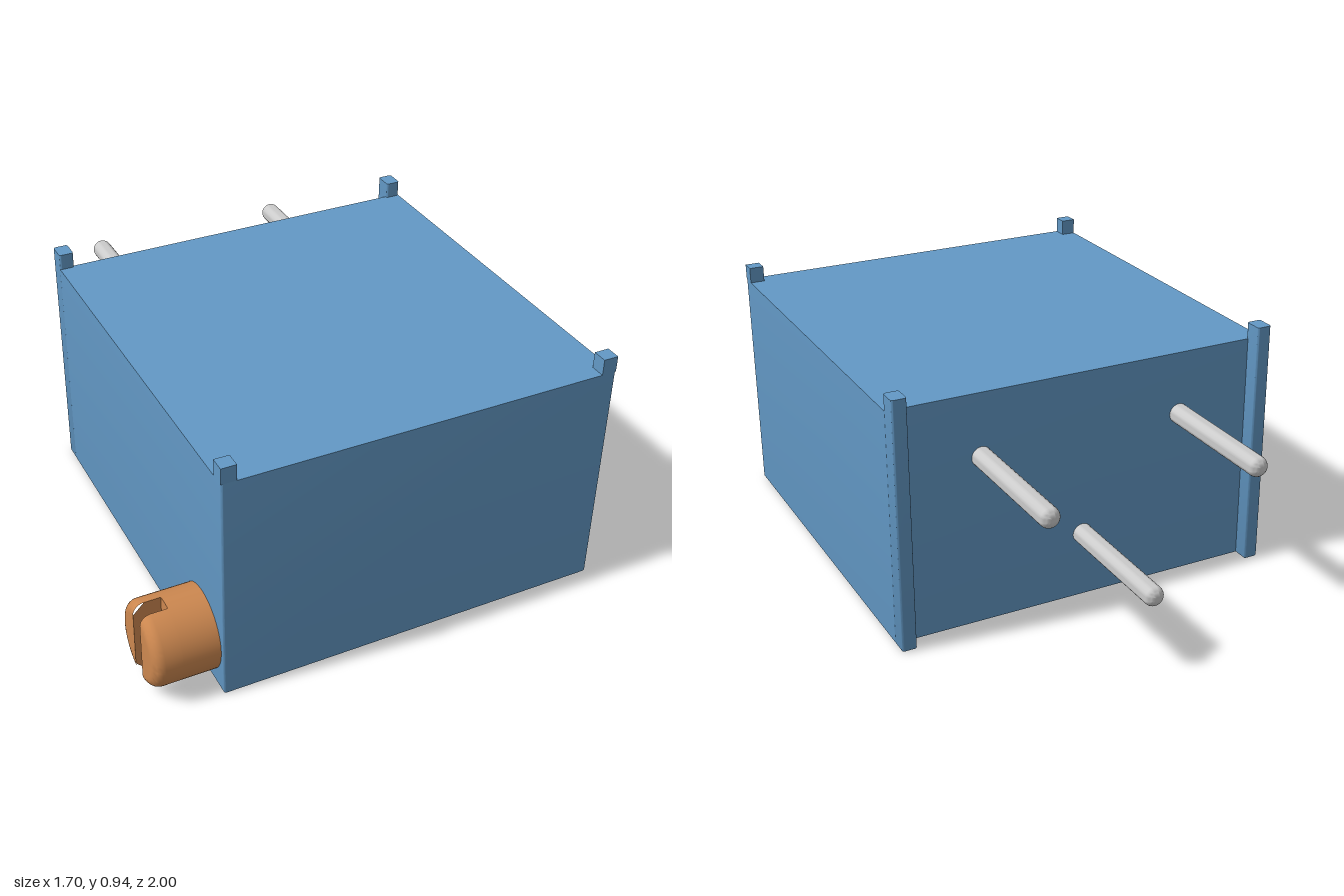
import * as THREE from 'three';
import { toCreasedNormals } from 'three/addons/utils/BufferGeometryUtils.js';
import { RoundedBoxGeometry } from 'three/addons/geometries/RoundedBoxGeometry.js';

const X0 = -0.615, X1 = 0.845, Z0 = -0.48, Z1 = 1, TOP = 0.88, FOOT = 0.055;
const blue = new THREE.MeshStandardMaterial({ color: 0x6399c6 });
const copper = new THREE.MeshStandardMaterial({ color: 0xcd8850 });
const grey = new THREE.MeshStandardMaterial({ color: 0xcccccc });

function add(parent, name, geometry, material, x = 0, y = 0, z = 0) {
  const mesh = new THREE.Mesh(geometry, material);
  mesh.name = name;
  mesh.position.set(x, y, z);
  parent.add(mesh);
  return mesh;
}

// Rounded box whose top is pressed flat, leaving a sharp upper rim
function flatTopBox(w, h, d, r) {
  const g = new RoundedBoxGeometry(w, h + r, d, 3, r);
  g.translate(0, (h + r) / 2, 0);
  const p = g.attributes.position;
  for (let i = 0; i < p.count; i++) p.setY(i, Math.min(p.getY(i), h));
  return toCreasedNormals(g, 0.6);
}

// Points of a quarter-round rim: [height, radius] up to the end at height h
function rim(h, radius, r, steps = 6) {
  const pts = [];
  for (let i = 0; i <= steps; i++) {
    const a = (i / steps) * Math.PI / 2;
    pts.push([h - r + r * Math.sin(a), radius - r + r * Math.cos(a)]);
  }
  return pts;
}

// One side of the slotted screw head, pointing along -x
function screwHalf(radius, base, end, round, gap) {
  const outer = [[base, radius], ...rim(end, radius, round)];
  const rows = outer.map(([h, r]) => [h, r, 1]);
  rows.push([end, outer.at(-1)[1], 0], [end - round, radius, 0], [base, radius, 0]);
  const n = 40;
  const g = new THREE.PlaneGeometry(1, 1, n, rows.length - 1);
  const p = g.attributes.position;
  rows.forEach(([h, r, s], j) => {
    const a0 = Math.acos(gap / r);
    for (let i = 0; i <= n; i++) {
      const a = a0 * (1 - 2 * i / n);
      p.setXYZ(j * (n + 1) + i, -h, r * Math.sin(a), gap + s * (r * Math.cos(a) - gap));
    }
  });
  return toCreasedNormals(g, 0.6);
}

export function createModel() {
  const model = new THREE.Group();
  model.name = 'trimmerComponent';

  // Housing
  const cx = (X0 + X1) / 2;
  add(model, 'housing', flatTopBox(X1 - X0, TOP, Z1 - Z0, 0.008), blue, cx, 0, (Z0 + Z1) / 2);

  // Front feet on the top and full-height posts at the back corners
  for (const [side, x] of [['Right', X0 + FOOT / 2], ['Left', X1 - FOOT / 2]]) {
    add(model, 'frontFoot' + side, new THREE.BoxGeometry(FOOT, 0.06, FOOT), blue, x, TOP + 0.03, Z1 - FOOT / 2);
    add(model, 'backPost' + side, flatTopBox(FOOT, 0.94, 0.07, 0.008), blue, x, 0, -0.505);
  }

  // Three round-ended pins, the middle one lower
  const pinPoints = [[-0.02, 0.037], ...rim(0.52, 0.037, 0.03), [0.52, 0]];
  const pin = toCreasedNormals(
    new THREE.LatheGeometry(pinPoints.map(([h, r]) => new THREE.Vector2(r, h)), 24), 0.6);
  pin.rotateX(-Math.PI / 2);
  [[-0.275, 0.645], [0.115, 0.255], [0.505, 0.645]].forEach(([x, y], i) =>
    add(model, 'pin' + (i + 1), pin, grey, x, y, Z0));

  // Adjustment screw: a solid base with two halves separated by the slot
  const screw = new THREE.Group();
  screw.name = 'adjustmentScrew';
  screw.position.set(X0, 0.17, 0.827);
  model.add(screw);
  const base = new THREE.CylinderGeometry(0.152, 0.152, 0.135, 64);
  base.rotateZ(Math.PI / 2);
  add(screw, 'screwBase', base, copper, -0.0675);
  const half = screwHalf(0.152, 0.135, 0.235, 0.04, 0.03);
  add(screw, 'screwHeadFront', half, copper);
  add(screw, 'screwHeadBack', half, copper).rotation.x = Math.PI;

  return model;
}
